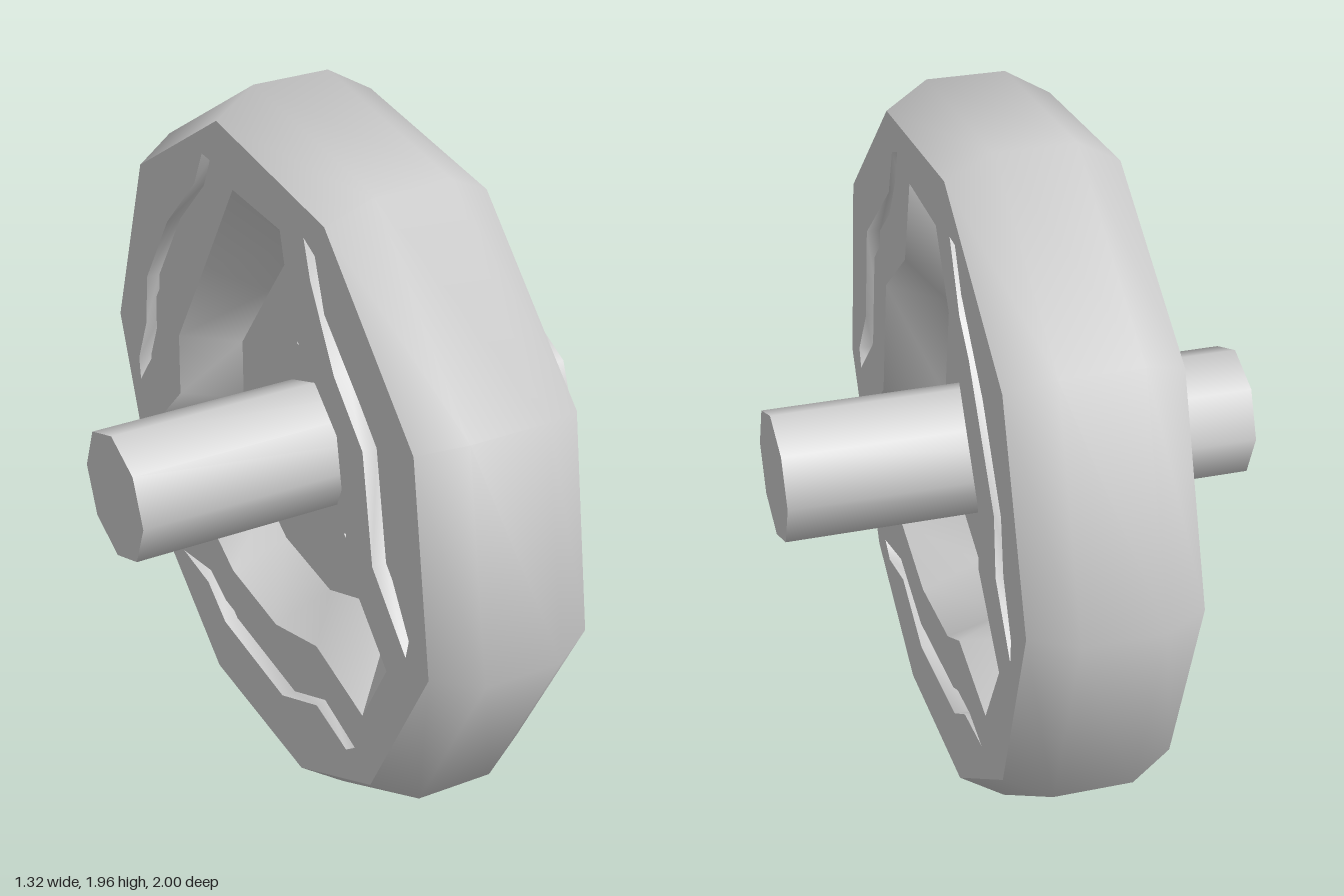
import * as THREE from 'three';
import { toCreasedNormals } from 'three/addons/utils/BufferGeometryUtils.js';

// Outlines are [u, v] pairs seen from the +x side: u = -z, v = y, counter-clockwise.
const RIM_OUTER = [[0.24, 1.96], [-0.41, 1.905], [-0.89, 1.46], [-1, 0.82], [-0.69, 0.246],
  [-0.262, 0], [0.33, 0.025], [0.79, 0.37], [1, 0.985], [0.79, 1.61]];
const RIM_INNER = [[0.22, 1.89], [-0.38, 1.84], [-0.83, 1.43], [-0.925, 0.834], [-0.636, 0.3],
  [-0.235, 0.075], [0.3, 0.09], [0.733, 0.41], [0.936, 0.99], [0.733, 1.56]];
const RECESS_TOP = [[0.13, 1.73], [-0.14, 1.73], [-0.21, 1.475], [-0.445, 1.285], [-0.515, 0.91],
  [-0.715, 0.727], [-0.59, 0.5], [-0.33, 0.56], [-0.086, 0.48], [0.187, 0.5], [0.31, 0.567],
  [0.57, 0.5], [0.7, 0.73], [0.513, 0.925], [0.508, 1.117], [0.32, 1.42]];
const RECESS_FLOOR = [[0.11, 1.535], [-0.145, 1.535], [-0.155, 1.42], [-0.39, 1.235], [-0.45, 0.9],
  [-0.54, 0.81], [-0.42, 0.615], [-0.31, 0.64], [-0.09, 0.545], [0.18, 0.565], [0.3, 0.635],
  [0.41, 0.615], [0.52, 0.81], [0.444, 0.9], [0.444, 1.085], [0.26, 1.335]];
const WINDOWS = [
  [[0.08, 1.455], [-0.085, 1.455], [-0.11, 1.245], [0.1, 1.245]],
  [[-0.28, 0.947], [-0.45, 0.81], [-0.375, 0.69], [-0.17, 0.78]],
  [[0.27, 0.947], [0.16, 0.78], [0.364, 0.69], [0.44, 0.81]],
];
const GROOVES = [
  [[-0.27, 1.765], [-0.33, 1.74], [-0.38, 1.6], [-0.67, 1.35], [-0.72, 1.05], [-0.825, 0.89],
    [-0.81, 0.83], [-0.635, 1], [-0.58, 1.31], [-0.43, 1.45], [-0.305, 1.66]],
  [[0.315, 1.76], [0.265, 1.76], [0.35, 1.58], [0.435, 1.5], [0.657, 1.175], [0.67, 1],
    [0.8, 0.83], [0.807, 0.9], [0.74, 1.05], [0.72, 1.21], [0.56, 1.455], [0.37, 1.65]],
  [[0.53, 0.37], [0.34, 0.41], [0.24, 0.363], [-0.12, 0.34], [-0.35, 0.42], [-0.55, 0.365],
    [-0.5, 0.325], [-0.33, 0.36], [-0.12, 0.255], [0.25, 0.28], [0.36, 0.355]],
];
const FACE_X = 0.23, TREAD_X = 0.11, FLOOR_X = 0.06, GROOVE_X = 0.19;
const CREASE = 0.9;

// Wall through a series of outlines, each placed at its own x.
// Rising x gives outward faces, falling x gives inward faces.
function loft(outlines, xs) {
  const n = outlines[0].length;
  const positions = [], index = [];
  outlines.forEach((outline, k) => outline.forEach(([u, v]) => positions.push(xs[k], v, -u)));
  for (let k = 0; k < outlines.length - 1; k++) {
    for (let j = 0; j < n; j++) {
      const a = k * n + j, b = k * n + (j + 1) % n;
      index.push(a, b, b + n, a, b + n, a + n);
    }
  }
  const geometry = new THREE.BufferGeometry();
  geometry.setAttribute('position', new THREE.Float32BufferAttribute(positions, 3));
  geometry.setIndex(index);
  return geometry;
}

// Flat plate facing +x, with optional holes.
function plate(outline, x, holes = []) {
  const toPoints = (list) => list.map(([u, v]) => new THREE.Vector2(u, v));
  const shape = new THREE.Shape(toPoints(outline));
  shape.holes = holes.map((hole) => new THREE.Path(toPoints(hole)));
  return new THREE.ShapeGeometry(shape).rotateY(Math.PI / 2).translate(x, 0, 0);
}

// Mirror across x = 0, turning the triangles over so they still face outward.
function mirrored(geometry) {
  const copy = geometry.clone().scale(-1, 1, 1);
  copy.setIndex(Array.from(copy.index.array).reverse());
  return copy;
}

export function createModel() {
  const model = new THREE.Group();
  model.name = 'wheelWithAxle';
  const material = new THREE.MeshStandardMaterial({ color: 0xcccccc });

  const add = (parent, name, geometry) => {
    geometry.deleteAttribute('uv');
    geometry.computeVertexNormals();
    const mesh = new THREE.Mesh(toCreasedNormals(geometry, CREASE), material);
    mesh.name = name;
    parent.add(mesh);
  };

  // Bevelled ten-sided rim
  add(model, 'rim', loft([RIM_INNER, RIM_OUTER, RIM_OUTER, RIM_INNER],
    [-FACE_X, -TREAD_X, TREAD_X, FACE_X]));

  // Matching wheel faces, each with a deep recess and three shallow grooves
  for (const side of ['left', 'right']) {
    const group = new THREE.Group();
    group.name = side + 'Side';
    model.add(group);
    const put = (name, geometry) => add(group, name, side === 'left' ? geometry : mirrored(geometry));

    put('sideFace', plate(RIM_INNER, FACE_X, [RECESS_TOP, ...GROOVES]));
    put('recessWall', loft([RECESS_TOP, RECESS_FLOOR], [FACE_X, FLOOR_X]));
    put('recessFloor', plate(RECESS_FLOOR, FLOOR_X, WINDOWS));
    for (const groove of GROOVES) {
      put('grooveWall', loft([groove, groove], [FACE_X, GROOVE_X]));
      put('grooveFloor', plate(groove, GROOVE_X));
    }
  }

  // Walls of the windows that pass through the web
  for (const hole of WINDOWS) {
    add(model, 'windowWall', loft([hole, hole], [FLOOR_X, -FLOOR_X]));
  }

  // Eight-sided axle
  add(model, 'axle', new THREE.CylinderGeometry(0.186, 0.186, 1.32, 8)
    .rotateZ(Math.PI / 2).translate(0, 0.985, 0));

  return model;
}
